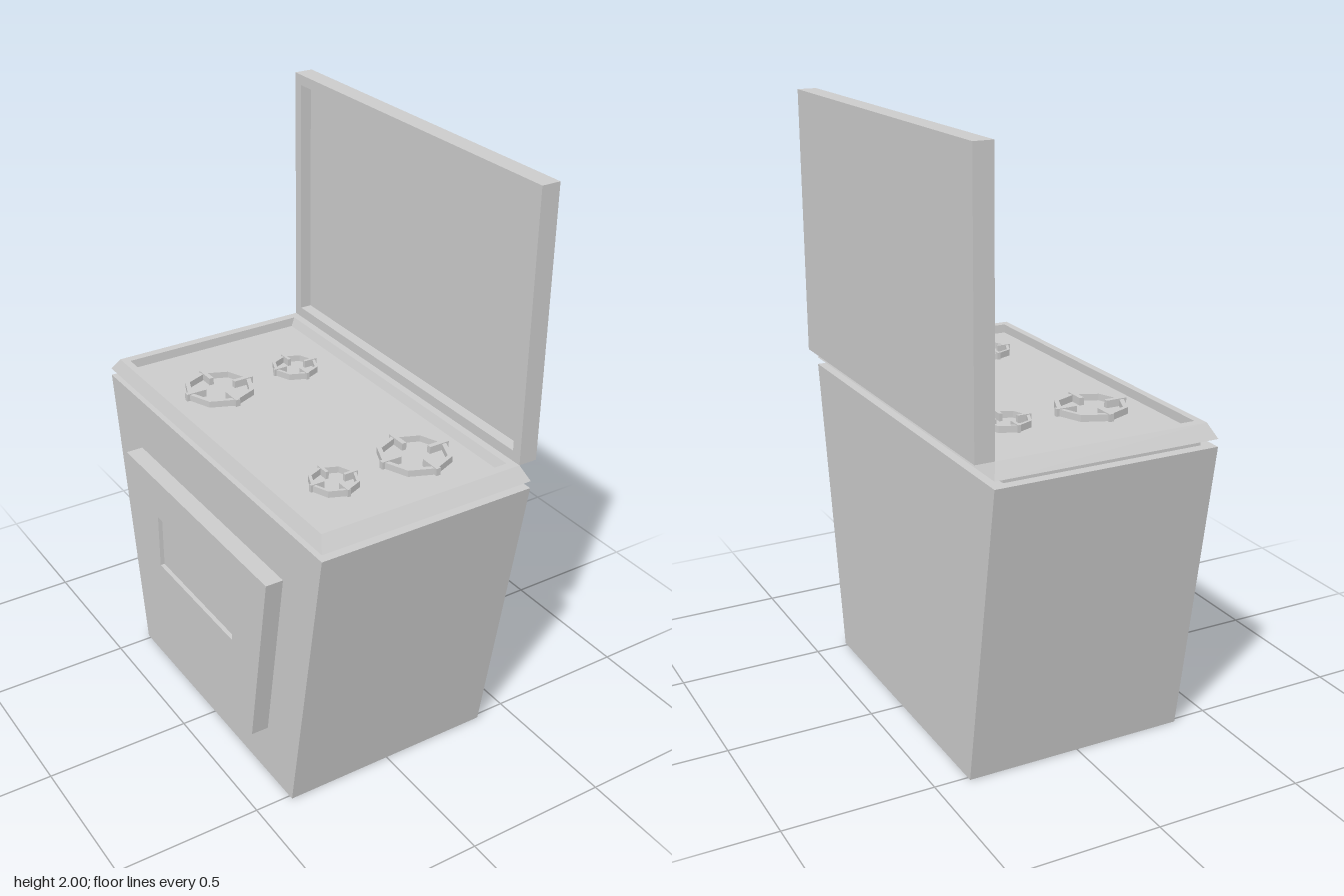
import * as THREE from 'three';

const material = new THREE.MeshStandardMaterial({ color: 0xcccccc, flatShading: true });

// Four corners at height y; half-depth may differ at the two x ends.
function section(y, x0, x1, half0, half1 = half0) {
  return [[x0, y, -half0], [x0, y, half0], [x1, y, half1], [x1, y, -half1]];
}

// Closed solid through a chain of four-cornered sections, capped at both ends.
function loft(sections) {
  const pos = [];
  const quad = (a, b, c, d) => pos.push(...a, ...b, ...c, ...a, ...c, ...d);
  for (let s = 0; s + 1 < sections.length; s++) {
    const lower = sections[s], upper = sections[s + 1];
    for (let i = 0; i < 4; i++) {
      const j = (i + 1) % 4;
      quad(lower[i], lower[j], upper[j], upper[i]);
    }
  }
  const first = sections[0];
  quad(first[3], first[2], first[1], first[0]);
  quad(...sections[sections.length - 1]);
  const geometry = new THREE.BufferGeometry();
  geometry.setAttribute('position', new THREE.Float32BufferAttribute(pos, 3));
  geometry.computeVertexNormals();
  return geometry;
}

function part(parent, name, geometry) {
  const mesh = new THREE.Mesh(geometry, material);
  mesh.name = name;
  parent.add(mesh);
  return mesh;
}

// Octagonal pan support with four inward prongs.
function burner(name, x, z, scale) {
  const group = new THREE.Group();
  group.name = name;
  const height = 0.022;
  const octagon = (r) => Array.from({ length: 8 }, (_, i) =>
    new THREE.Vector2(r * Math.cos(i * Math.PI / 4), r * Math.sin(i * Math.PI / 4)));
  const shape = new THREE.Shape(octagon(0.12));
  shape.holes.push(new THREE.Path(octagon(0.104)));
  const ring = new THREE.ExtrudeGeometry(shape, { depth: height, bevelEnabled: false });
  part(group, 'burnerRing', ring.rotateX(-Math.PI / 2));
  for (let i = 0; i < 4; i++) {
    const prong = new THREE.BoxGeometry(0.072, height + 0.003, 0.016);
    prong.translate(0.091, (height + 0.003) / 2, 0).rotateY(i * Math.PI / 2);
    part(group, 'burnerProng', prong);
  }
  group.position.set(x, 1.07, z);
  group.scale.set(scale, 1, scale);
  return group;
}

export function createModel() {
  const stove = new THREE.Group();
  stove.name = 'stove';

  // Body, narrower at the floor
  part(stove, 'body', loft([
    section(0, -0.375, 0.385, 0.515),
    section(1.03, -0.375, 0.385, 0.685),
  ]));

  // Recessed neck between body and cooktop
  part(stove, 'neck', loft([
    section(1.03, -0.335, 0.34, 0.65),
    section(1.06, -0.335, 0.34, 0.65),
  ]));

  // Cooktop with bevelled rim and sunken tray
  part(stove, 'cooktop', loft([
    section(1.055, -0.375, 0.385, 0.685),
    section(1.10, -0.355, 0.365, 0.65),
    section(1.10, -0.33, 0.338, 0.62),
    section(1.07, -0.33, 0.325, 0.617),
  ]));

  // Burners: two large and two small, set diagonally
  stove.add(
    burner('largeBurner', -0.15, -0.31, 1),
    burner('largeBurner', 0.15, 0.4, 1),
    burner('smallBurner', 0.15, -0.31, 0.67),
    burner('smallBurner', -0.15, 0.4, 0.67),
  );

  // Raised lid with a hollow inner side (lofted along -x)
  part(stove, 'lid', loft([
    section(-0.43, 1.10, 2.0, 0.65),
    section(-0.365, 1.10, 2.0, 0.65),
    section(-0.365, 1.135, 1.965, 0.615),
    section(-0.405, 1.135, 1.965, 0.615),
  ]).rotateZ(Math.PI / 2));

  // Tapered oven door with a sunken window (lofted along -x)
  part(stove, 'ovenDoor', loft([
    section(0.37, 0.19, 0.84, 0.365, 0.47),
    section(0.435, 0.19, 0.84, 0.365, 0.47),
    section(0.435, 0.497, 0.694, 0.25),
    section(0.42, 0.497, 0.694, 0.25),
  ]).rotateZ(Math.PI / 2));

  return stove;
}
